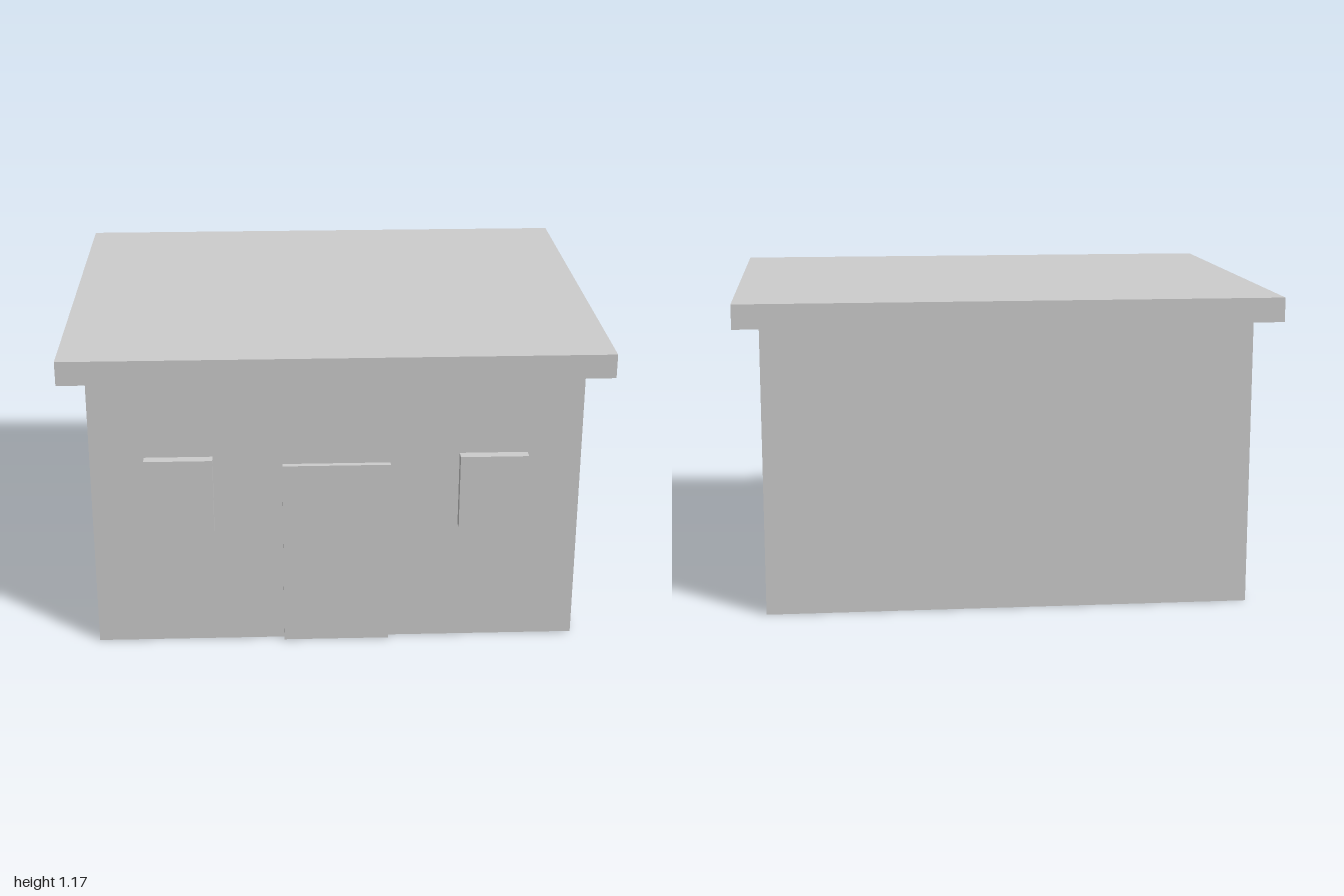
import * as THREE from 'three';

export function createModel() {
  const house = new THREE.Group();
  house.name = 'house';

  const plaster = new THREE.MeshStandardMaterial({ color: 0xcccccc });
  plaster.name = 'light grey';

  // Adds a box given its size, the height of its underside and its centre in x and z
  function addBox(name, [w, h, d], bottom, x = 0, z = 0) {
    const mesh = new THREE.Mesh(new THREE.BoxGeometry(w, h, d), plaster);
    mesh.name = name;
    mesh.position.set(x, bottom + h / 2, z);
    house.add(mesh);
  }

  const wallHeight = 1.083;
  const wallDepth = 1.456;
  const front = wallDepth / 2;

  // Body and overhanging flat roof
  addBox('walls', [1.814, wallHeight, wallDepth], 0);
  addBox('roof', [2, 0.09, 1.63], wallHeight);

  // Door and windows stand slightly proud of the front wall
  addBox('door', [0.4, 0.728, 0.044], 0, 0, front);
  for (const [side, name] of [[1, 'leftWindow'], [-1, 'rightWindow']]) {
    addBox(name, [0.252, 0.29, 0.08], 0.472, side * 0.582, front);
  }

  return house;
}
